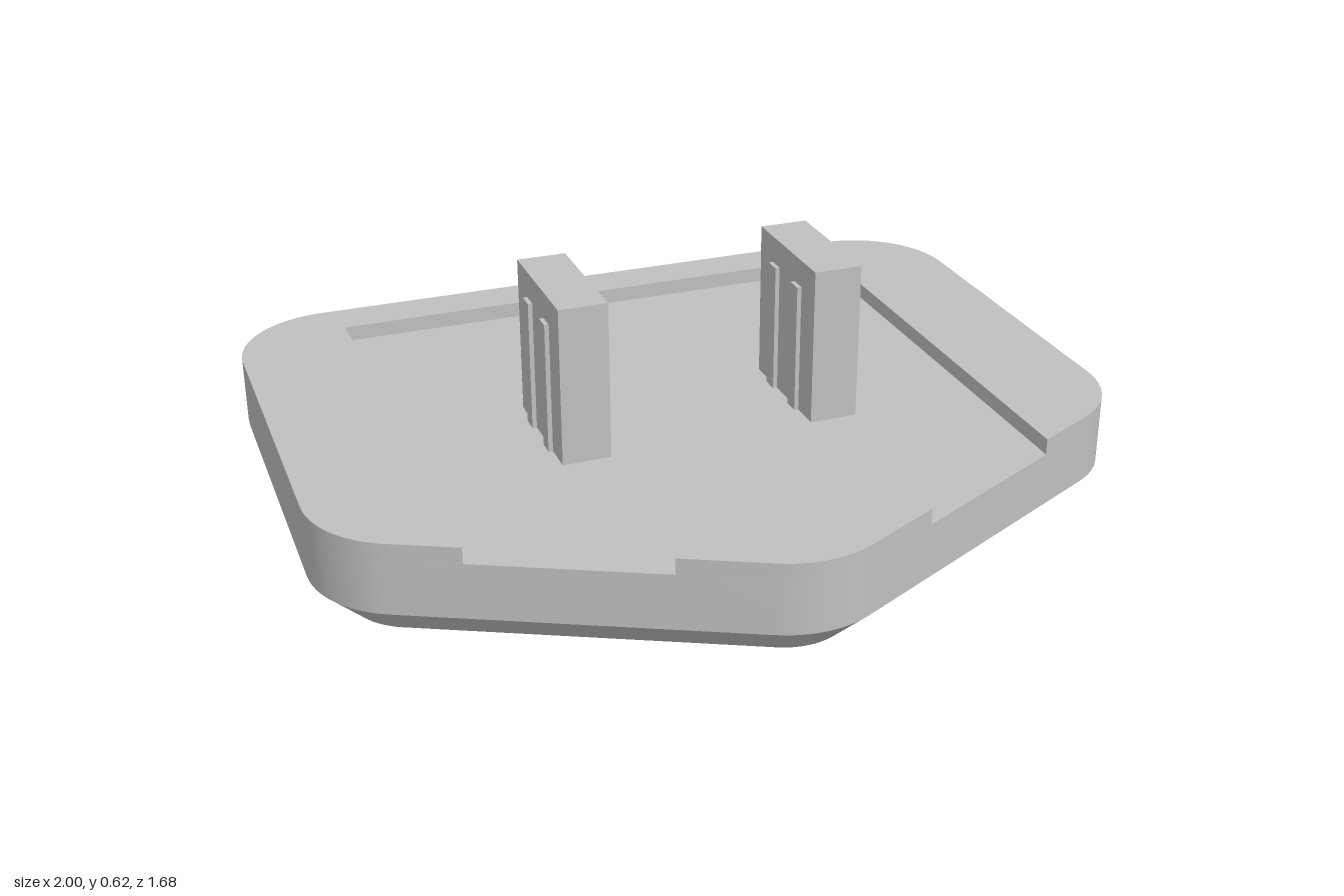
import * as THREE from 'three';
import { toCreasedNormals } from 'three/addons/utils/BufferGeometryUtils.js';

const V = (x, y) => new THREE.Vector2(x, y);
const SLOPE = Math.atan(0.494);

// Plan coordinates are (x, -z). Corner centres with the arc each one sweeps.
const P = Math.PI;
const CORNERS = {
  frontLeft: [0.75, -0.22, 1.5 * P + SLOPE, 2 * P],
  backLeft: [0.75, 0.59, 0, P / 2],
  backRight: [-0.75, 0.59, P / 2, P],
  frontRight: [-0.75, -0.22, P, 1.5 * P - SLOPE],
  tip: [0, -0.59, 1.5 * P - SLOPE, 1.5 * P + SLOPE],
};

function arc(name, r) {
  const [cx, cy, a, b] = CORNERS[name];
  return Array.from({ length: 13 }, (_, i) => {
    const t = a + ((b - a) * i) / 12;
    return V(cx + r * Math.cos(t), cy + r * Math.sin(t));
  });
}

const outline = (r) => Object.keys(CORNERS).flatMap((n) => arc(n, r));

// Flat slab from a plan loop, between two heights
function slab(points, y0, y1) {
  const g = new THREE.ExtrudeGeometry(new THREE.Shape(points), { depth: y1 - y0, bevelEnabled: false });
  g.rotateX(-P / 2);
  g.translate(0, y0, 0);
  return toCreasedNormals(g, 0.4);
}

// Band of quads joining a low loop to a high loop
function band(low, y0, high, y1) {
  const pos = [];
  const put = (p, y) => pos.push(p.x, y, -p.y);
  low.forEach((a, i) => {
    const j = (i + 1) % low.length;
    put(a, y0); put(low[j], y0); put(high[j], y1);
    put(a, y0); put(high[j], y1); put(high[i], y1);
  });
  const g = new THREE.BufferGeometry();
  g.setAttribute('position', new THREE.Float32BufferAttribute(pos, 3));
  return toCreasedNormals(g, 0.4);
}

export function createModel() {
  const model = new THREE.Group();
  model.name = 'fivesidedPlate';
  const grey = new THREE.MeshStandardMaterial({ color: 0xc0c0c0 });
  grey.name = 'plainGrey';

  const add = (name, geometry, parent = model) => {
    const mesh = new THREE.Mesh(geometry, grey);
    mesh.name = name;
    parent.add(mesh);
    return mesh;
  };

  const CHAMFER = 0.09, FLOOR = 0.227, TOP = 0.267, R = 0.25;

  // Main plate body with the recessed floor as its top
  add('plateBody', slab(outline(R), CHAMFER, FLOOR));

  // Raised rim, open along the two sloping front edges
  add('rim', slab([
    V(0.71, -0.518), ...arc('frontLeft', R), ...arc('backLeft', R),
    ...arc('backRight', R), ...arc('frontRight', R),
    V(-0.71, -0.518), V(-0.71, 0.72), V(0.71, 0.72),
  ], FLOOR, TOP));
  add('rimTip', slab([V(-0.302, -0.72), ...arc('tip', R), V(0.302, -0.72)], FLOOR, TOP));

  // Chamfered underside with two V-shaped grooves
  const inner = outline(R - CHAMFER);
  add('chamfer', band(inner, 0, outline(R), CHAMFER));
  const grooves = [0.36, 0.035].map((z) => [
    V(0, -z), V(-0.39, 0.335 - z), V(-0.39, 0.475 - z),
    V(0, 0.14 - z), V(0.39, 0.475 - z), V(0.39, 0.335 - z),
  ]);
  const flip = (pts) => pts.map((p) => V(p.x, -p.y));
  const base = new THREE.Shape(flip(inner));
  grooves.forEach((g) => {
    base.holes.push(new THREE.Path(flip(g)));
    add('grooveWalls', band(g, 0, g, CHAMFER));
  });
  add('underside', new THREE.ShapeGeometry(base).rotateX(P / 2));

  // Two upright posts, each with two ribs running through it
  for (const side of [1, -1]) {
    const post = new THREE.Group();
    post.name = side > 0 ? 'leftPost' : 'rightPost';
    post.position.set(side * 0.318, FLOOR, 0);
    model.add(post);
    const block = (name, w, h, d, z) =>
      add(name, new THREE.BoxGeometry(w, h, d).translate(0, h / 2, z), post);
    block('postBlock', 0.12, 0.395, 0.33, 0);
    for (const z of [-0.067, 0.067]) block('postRib', 0.142, 0.328, 0.042, z);
  }
  return model;
}
